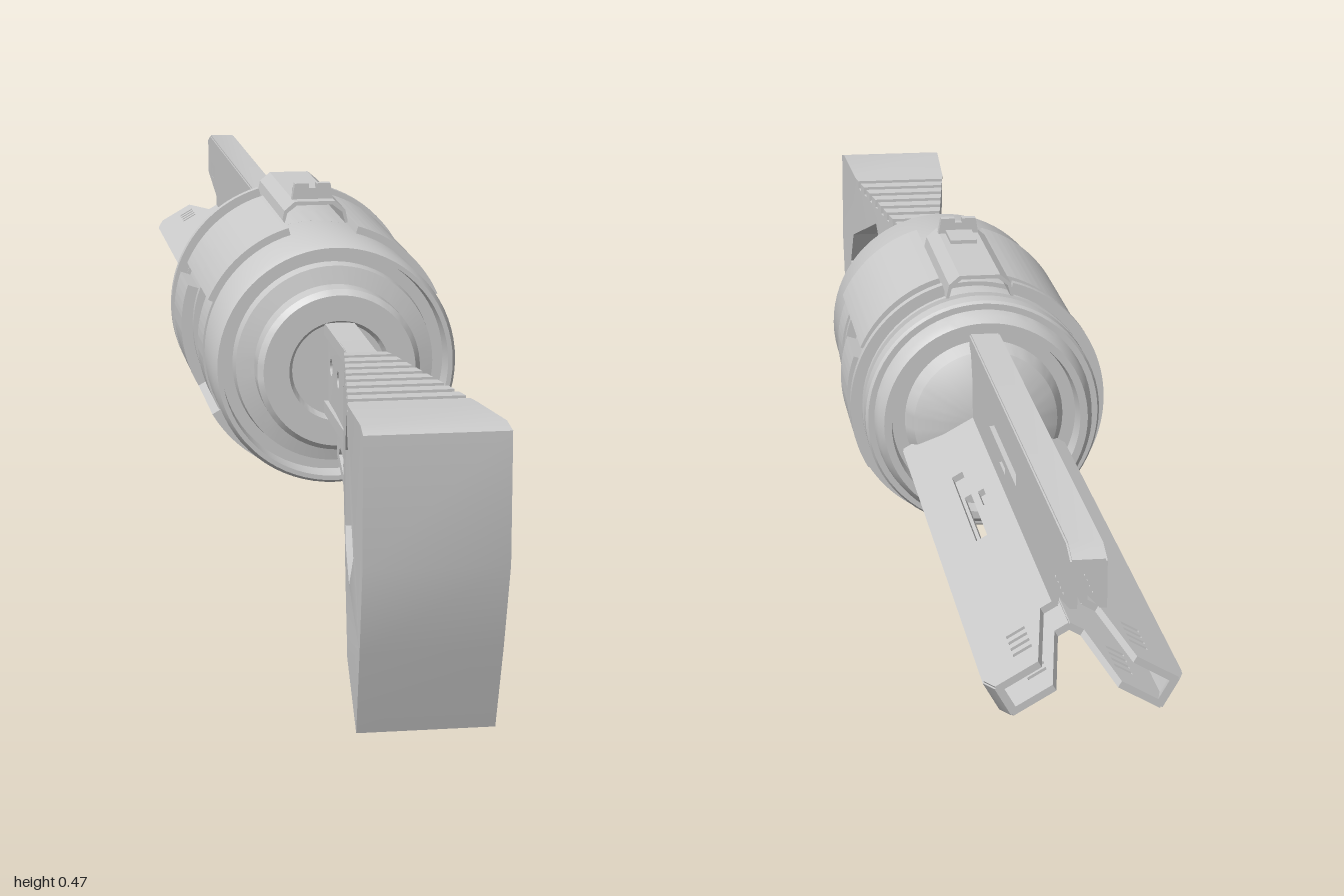
import * as THREE from 'three';
import { toCreasedNormals } from 'three/addons/utils/BufferGeometryUtils.js';

const AXIS_Y = 0.2625;
const DEG = Math.PI / 180;
const material = new THREE.MeshStandardMaterial({ color: 0xcccccc, side: THREE.DoubleSide });

function add(parent, name, geometry, crease = 0.5) {
  const mesh = new THREE.Mesh(toCreasedNormals(geometry, crease), material);
  mesh.name = name;
  parent.add(mesh);
  return mesh;
}

const points = (list) => list.map(([a, b]) => new THREE.Vector2(a, b));

function outline(list, holes = []) {
  const shape = new THREE.Shape(points(list));
  for (const h of holes) shape.holes.push(new THREE.Path(points(h)));
  return shape;
}

const rect = (a0, a1, b0, b1) => [[a0, b0], [a1, b0], [a1, b1], [a0, b1]];

function disc(a, b, r, n = 16) {
  return Array.from({ length: n }, (_, i) => {
    const t = (i / n) * Math.PI * 2;
    return [a + r * Math.cos(t), b + r * Math.sin(t)];
  });
}

// Extrudes a (z, y) outline sideways; halfWidth(z) gives the taper.
function sideSlab(shape, halfWidth) {
  const g = new THREE.ExtrudeGeometry(shape, { depth: 2, bevelEnabled: false });
  g.translate(0, 0, -1).rotateY(-Math.PI / 2);
  const p = g.attributes.position;
  for (let i = 0; i < p.count; i++) p.setX(i, p.getX(i) * halfWidth(p.getZ(i)));
  return g;
}

// Extrudes an (x, y) outline from z0 to z1.
function alongZ(shape, z0, z1) {
  const g = new THREE.ExtrudeGeometry(shape, { depth: z1 - z0, bevelEnabled: false, curveSegments: 28 });
  return g.translate(0, 0, z0);
}

// Curved shell panel around the barrel axis, angles in degrees.
function arcPanel(rIn, rOut, z0, z1, a0, a1) {
  const s = new THREE.Shape();
  s.absarc(0, 0, rOut, a0 * DEG, a1 * DEG, false);
  s.absarc(0, 0, rIn, a1 * DEG, a0 * DEG, true);
  return alongZ(s, z0, z1);
}

function lathe(profile) {
  return new THREE.LatheGeometry(points(profile), 72).rotateX(Math.PI / 2);
}

function buildBody() {
  const body = new THREE.Group();
  body.name = 'body';

  // Core with rear collar steps, a waist behind the windows and a recessed front
  add(body, 'core', lathe([
    [0, -0.225], [0.06, -0.222], [0.095, -0.205], [0.105, -0.185], [0.122, -0.185],
    [0.125, -0.21], [0.135, -0.21], [0.142, -0.2], [0.145, -0.18], [0.153, -0.18],
    [0.156, -0.175], [0.156, -0.15], [0.148, -0.148], [0.148, -0.135], [0.156, -0.133],
    [0.156, -0.11], [0.15, -0.11], [0.15, -0.08], [0.156, -0.08], [0.156, 0.035],
    [0.12, 0.035], [0.12, 0.115], [0.157, 0.115], [0.158, 0.285], [0.153, 0.295],
    [0.147, 0.295], [0.145, 0.265], [0.13, 0.265], [0.128, 0.285], [0.105, 0.29],
    [0.105, 0.322], [0.098, 0.33], [0.065, 0.33], [0.06, 0.32], [0, 0.32],
  ]));

  // Bands that close the waist above and below the side windows
  add(body, 'upperWindowBand', arcPanel(0.12, 0.157, 0.035, 0.115, 24, 156));
  add(body, 'lowerWindowBand', arcPanel(0.12, 0.157, 0.035, 0.115, 204, 336));

  // Raised outer shells
  add(body, 'lowerShell', arcPanel(0.15, 0.171, -0.11, 0.19, 210, 330));
  for (const side of [1, -1]) {
    const arc = (name, rIn, rOut, z0, z1, a0, a1) =>
      add(body, name, side > 0
        ? arcPanel(rIn, rOut, z0, z1, a0, a1)
        : arcPanel(rIn, rOut, z0, z1, 180 - a1, 180 - a0));
    arc('upperShell', 0.15, 0.167, -0.075, 0.187, 24, 74);
    arc('sideShell', 0.15, 0.171, -0.075, 0.022, -30, 19);
    arc('sideShellFront', 0.15, 0.16, 0.125, 0.187, -30, 24);
    arc('rearBand', 0.15, 0.171, -0.125, -0.112, -30, 74);
  }

  // Bridged top rail
  const half = [[0.045, 0.152], [0.041, 0.17], [0.027, 0.182]];
  const inner = [[0.024, 0.177], [0.037, 0.167], [0.041, 0.152]];
  const mirror = (list) => list.map(([x, y]) => [-x, y]).reverse();
  add(body, 'topRail', alongZ(outline([...half, ...mirror(half), ...mirror(inner), ...inner]), -0.145, 0.11));

  // Notched sight standing on the rail
  add(body, 'sight', alongZ(outline([
    [-0.028, 0.18], [0.028, 0.18], [0.024, 0.203], [0.005, 0.203], [0.005, 0.197],
    [-0.005, 0.197], [-0.005, 0.203], [-0.024, 0.203],
  ]), 0.078, 0.09));
  add(body, 'sightBase', alongZ(outline(rect(-0.018, 0.018, 0.18, 0.187)), 0.02, 0.08));
  return body;
}

// One hollow barrel fin: two slotted side plates and an outer rim
function buildFin() {
  const fin = new THREE.Group();
  fin.name = 'barrelFin';
  const holes = [rect(-0.61, -0.38, 0.051, 0.066), rect(-0.52, -0.47, 0.034, 0.042)];
  for (let i = 0; i < 4; i++) holes.push(rect(-0.907 - i * 0.017, -0.9 - i * 0.017, 0.05, 0.073));
  const plate = outline([
    [-0.19, 0.008], [-0.19, 0.113], [-0.972, 0.113], [-1, 0.103], [-1, 0.05], [-0.88, 0.026], [-0.88, 0.008],
  ], holes);
  for (const side of [1, -1]) {
    add(fin, 'finPlate', sideSlab(plate, () => 0.004).translate(side * 0.016, 0, 0));
  }
  const rim = outline([[-0.19, 0.104], [-0.19, 0.115], [-0.972, 0.115], [-1, 0.105], [-1, 0.096], [-0.972, 0.104]]);
  add(fin, 'finRim', sideSlab(rim, () => 0.018));
  return fin;
}

function buildHandle() {
  const handle = new THREE.Group();
  handle.name = 'handle';

  // Grip outline with rows of notches along its top and bottom edges
  const notches = (count, z0, z1, y0, y1, depth) => {
    const list = [];
    const pitch = (z1 - z0) / count;
    for (let i = 0; i < count; i++) {
      const z = z0 + i * pitch;
      const y = (q) => y0 + ((q - z0) / (z1 - z0)) * (y1 - y0);
      const e = z + pitch * 0.4;
      list.push([z, y(z)], [z, y(z) + depth], [e, y(e) + depth], [e, y(e)]);
    }
    return list;
  };
  const top = notches(8, 0.55, 0.85, 0.332, 0.343, -0.012);
  const bottom = notches(8, 0.55, 0.83, 0.158, 0.05, 0.012).reverse();
  const grip = outline([
    [0.492, 0.18], [0.525, 0.33], ...top, [0.85, 0.343], [0.975, 0.352], [1, 0.347], [1, 0.2],
    [0.975, 0.1], [0.945, 0], [0.83, 0.05], ...bottom,
  ], [[
    [0.909, 0.187], [0.877, 0.24], [0.711, 0.3], [0.668, 0.246], [0.668, 0.155], [0.717, 0.144], [0.866, 0.144],
  ]]);
  add(handle, 'grip', sideSlab(grip, (z) =>
    z < 0.85 ? 0.022 + ((z - 0.5) / 0.35) * 0.05 : 0.072 + ((z - 0.85) / 0.15) * 0.008), 0.3);

  // Drilled stem joining the grip to the body
  const stem = outline(
    [[0.3, 0.205], [0.3, 0.322], [0.56, 0.326], [0.56, 0.168], [0.5, 0.178], [0.37, 0.2]],
    [0.342, 0.412, 0.48].map((z) => disc(z, 0.27, 0.011)),
  );
  add(handle, 'stem', sideSlab(stem, (z) => 0.013 + Math.max(0, z - 0.35) * 0.035));
  for (const y of [0.214, 0.316]) {
    add(handle, 'stemRib', sideSlab(outline(rect(0.32, 0.53, y - 0.008, y + 0.008)), () => 0.019));
  }

  // Trigger loop below the stem
  const loop = outline(
    [[0.478, 0.185], [0.475, 0.164], [0.444, 0.128], [0.374, 0.163], [0.372, 0.18], [0.4, 0.205]],
    [[[0.465, 0.18], [0.463, 0.166], [0.442, 0.142], [0.388, 0.168], [0.405, 0.19]]],
  );
  add(handle, 'triggerLoop', sideSlab(loop, () => 0.01));
  return handle;
}

export function createModel() {
  const model = new THREE.Group();
  model.name = 'threeFinnedBlaster';

  const barrelAxis = new THREE.Group();
  barrelAxis.name = 'barrelAssembly';
  barrelAxis.position.y = AXIS_Y;
  barrelAxis.add(buildBody());
  for (let i = 0; i < 3; i++) {
    const fin = buildFin();
    fin.rotation.z = (i * Math.PI * 2) / 3;
    barrelAxis.add(fin);
  }

  model.add(barrelAxis, buildHandle());
  return model;
}
